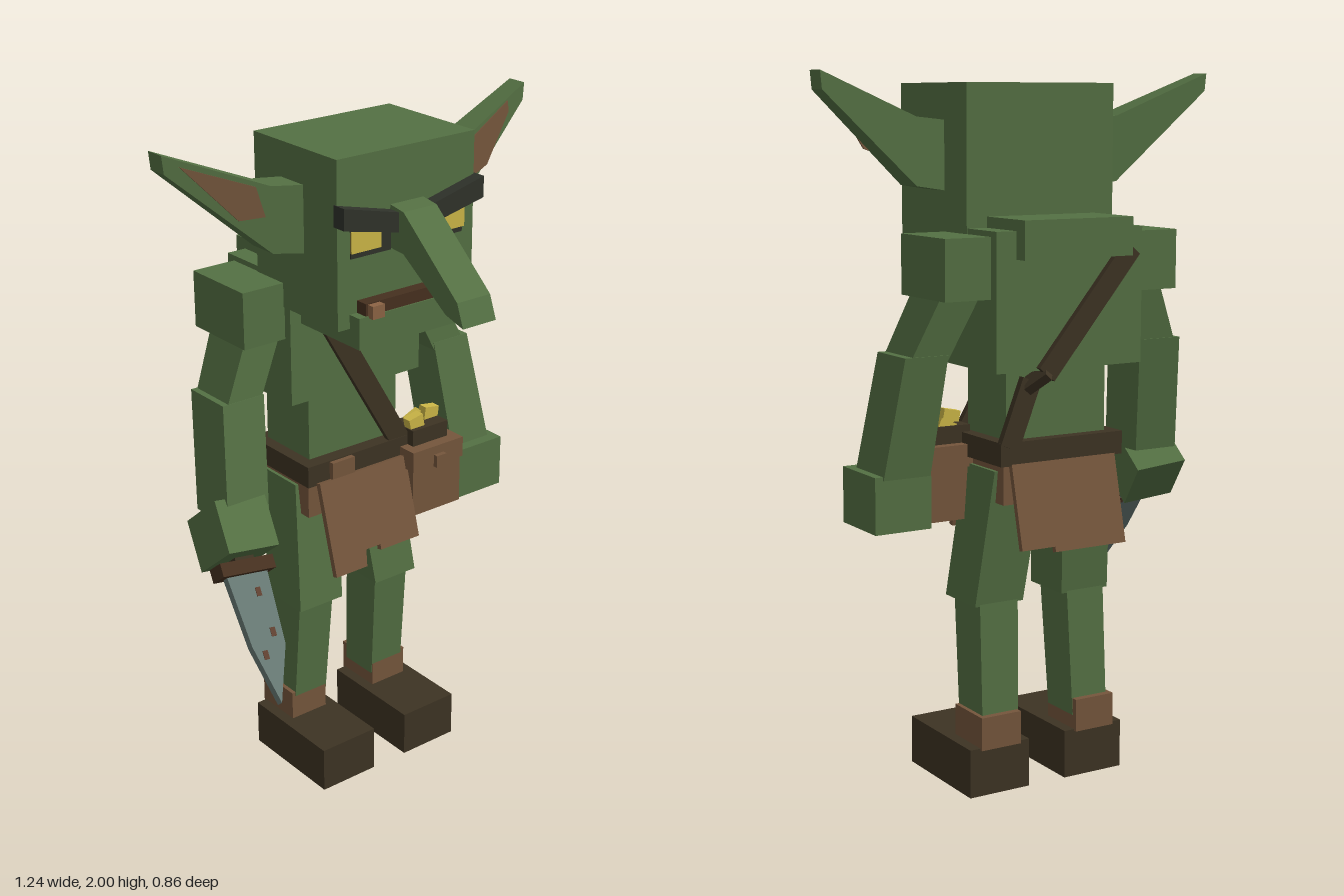
import * as THREE from 'three';

const mat = (name, color) => Object.assign(new THREE.MeshStandardMaterial({ color, flatShading: true }), { name });
const skin = mat('green skin', 0x547043);
const leather = mat('brown leather', 0x75563c);
const dark = mat('dark leather', 0x3d3323);
const brow = mat('dark brow', 0x2f322a);
const yellow = mat('yellow', 0xcbb647);
const steel = mat('steel', 0x667873);
const mouthMat = mat('mouth', 0x46301f);
const tooth = mat('tooth', 0x8c6444);
const rust = mat('rust', 0x5f4030);

export function createModel() {
  const root = new THREE.Group();
  root.name = 'goblin';

  const add = (name, geo, m, parent = root) => {
    const mesh = new THREE.Mesh(geo, m);
    mesh.name = name;
    parent.add(mesh);
    return mesh;
  };
  // Box given by its limits on each axis
  const box = (name, m, x0, x1, y0, y1, z0, z1, parent) => {
    const mesh = add(name, new THREE.BoxGeometry(x1 - x0, y1 - y0, z1 - z0), m, parent);
    mesh.position.set((x0 + x1) / 2, (y0 + y1) / 2, (z0 + z1) / 2);
    return mesh;
  };
  // Limb segment between two rectangles [x0, x1, z0, z1]; s = -1 mirrors it
  const limb = (name, s, y0, low, y1, high, m = skin) => {
    const geo = new THREE.BoxGeometry(1, 1, 1);
    const p = geo.attributes.position;
    for (let i = 0; i < p.count; i++) {
      const up = p.getY(i) > 0, r = up ? high : low;
      const outer = p.getX(i) * s > 0;
      p.setXYZ(i, s * (outer ? r[1] : r[0]), up ? y1 : y0, p.getZ(i) > 0 ? r[3] : r[2]);
    }
    geo.computeVertexNormals();
    return add(name, geo, m);
  };
  const plate = (pts, depth) => new THREE.ExtrudeGeometry(
    new THREE.Shape(pts.map(([x, y]) => new THREE.Vector2(x, y))), { depth, bevelEnabled: false });
  // Flat band between two points
  const band = (name, a, b, width, thick) => {
    const A = new THREE.Vector3(...a), B = new THREE.Vector3(...b);
    const mesh = add(name, new THREE.BoxGeometry(width, A.distanceTo(B), thick), dark);
    mesh.position.copy(A).add(B).multiplyScalar(0.5);
    mesh.quaternion.setFromUnitVectors(new THREE.Vector3(0, 1, 0), B.sub(A).normalize());
  };

  // Head and jaw
  box('head', skin, -0.235, 0.235, 1.5, 1.97, -0.235, 0.13);
  box('jaw', skin, -0.195, 0.195, 1.45, 1.54, -0.2, 0.172);
  box('mouth', mouthMat, -0.17, 0.165, 1.53, 1.575, 0.12, 0.168);
  for (const x of [-0.143, 0.103]) box('tooth', tooth, x - 0.02, x + 0.02, 1.535, 1.572, 0.16, 0.19);

  // Bent nose, a side profile of (z, y) swept across x
  const nose = plate([[0.12, 1.82], [0.185, 1.81], [0.405, 1.62], [0.43, 1.555],
    [0.36, 1.575], [0.185, 1.695], [0.12, 1.7]], 0.114);
  nose.rotateY(-Math.PI / 2).translate(0.057, 0, 0);
  add('nose', nose, skin);

  // Eyes and brows
  for (const s of [-1, 1]) {
    const b = plate([[s * 0.24, 1.85], [s * 0.055, 1.805], [s * 0.055, 1.75], [s * 0.24, 1.79]], 0.045);
    b.translate(0, 0, 0.122);
    add('brow', b, brow);
    const c = s * 0.125;
    box('eyeSocket', brow, c - 0.068, c + 0.068, 1.695, 1.79, 0.128, 0.134);
    const e = s < 0 ? -0.143 : 0.148;
    box('eye', yellow, e - 0.05, e + 0.05, 1.71, 1.77, 0.133, 0.138);
  }
  box('eyeCorner', yellow, 0.057, 0.077, 1.715, 1.745, 0.133, 0.138);

  // Swept ears: flat outline, then sheared back and thinned towards the tip
  const earFront = x => -0.015 - (Math.abs(x) - 0.235) * 0.195;
  const sweep = (geo, depthAt, offset) => {
    const p = geo.attributes.position;
    for (let i = 0; i < p.count; i++) {
      const x = p.getX(i);
      p.setZ(i, earFront(x) + offset - (p.getZ(i) > 0.5 ? 0 : depthAt(x)));
    }
    geo.computeVertexNormals();
    return geo;
  };
  const earDepth = x => 0.1 - (Math.abs(x) - 0.235) * 0.1;
  for (const s of [-1, 1]) {
    const outline = [[0.225, 1.87], [0.325, 1.88], [0.62, 2], [0.615, 1.95], [0.325, 1.695], [0.225, 1.68]];
    add('ear', sweep(plate(outline.map(([x, y]) => [s * x, y]), 1), earDepth, 0), skin);
  }
  const patches = [
    [[0.26, 1.83], [0.54, 1.962], [0.545, 1.93], [0.45, 1.795], [0.28, 1.74]],
    [[-0.575, 1.965], [-0.37, 1.885], [-0.345, 1.8], [-0.42, 1.8]]];
  for (const pts of patches) add('innerEar', sweep(plate(pts, 1), () => 0.006, 0.004), leather);

  // Torso
  box('chest', skin, -0.232, 0.232, 1.21, 1.585, -0.385, -0.09);
  box('upperBackHump', skin, -0.172, 0.172, 1.51, 1.615, -0.428, -0.15);
  box('waist', skin, -0.16, 0.16, 0.92, 1.215, -0.315, -0.11);
  box('pelvis', leather, -0.18, 0.18, 0.84, 0.955, -0.335, -0.09);
  box('belt', dark, -0.197, 0.197, 0.95, 1.015, -0.35, -0.066);
  box('beltBuckle', leather, -0.12, -0.04, 0.955, 1.012, -0.07, -0.05);

  // Shoulder strap
  band('frontStrap', [-0.14, 1.5, -0.082], [0.15, 1.0, -0.078], 0.065, 0.02);
  band('backStrap', [-0.19, 1.53, -0.393], [0.085, 1.2, -0.393], 0.06, 0.02);
  band('strapBend', [0.075, 1.21, -0.397], [0.11, 1.165, -0.345], 0.06, 0.025);
  band('lowerBackStrap', [0.1, 1.18, -0.342], [0.17, 1.0, -0.342], 0.06, 0.02);

  // Ragged loincloth flaps
  const front = add('frontLoincloth', plate([[-0.168, 0], [-0.168, -0.285], [-0.055, -0.285], [-0.048, -0.235],
    [0.005, -0.235], [0.005, -0.252], [0.15, -0.252], [0.15, 0]], 0.018), leather);
  front.position.set(0, 0.957, -0.067);
  front.rotation.x = -0.27;
  const back = add('backLoincloth', plate([[-0.17, 0], [-0.17, -0.25], [0.06, -0.25], [0.06, -0.235],
    [0.165, -0.235], [0.165, 0]], 0.016), leather);
  back.position.set(0, 0.955, -0.353);
  back.rotation.x = 0.24;

  // Belt pouch with coins
  box('pouch', leather, 0.15, 0.333, 0.772, 0.93, -0.16, -0.012);
  box('pouchFlap', leather, 0.143, 0.336, 0.922, 0.985, -0.17, -0.003);
  box('pouchClasp', leather, 0.222, 0.26, 0.92, 0.958, -0.01, 0.012);
  box('pouchNeck', dark, 0.172, 0.305, 0.98, 1.035, -0.14, -0.04);
  for (const [x, z, r] of [[0.2, -0.07, 0.2], [0.28, -0.1, -0.15], [0.24, -0.12, 0.4]]) {
    box('coin', yellow, x - 0.026, x + 0.026, 1.02, x > 0.23 && x < 0.27 ? 1.05 : 1.07, z - 0.015, z + 0.015)
      .rotation.z = r;
  }

  // Legs and shoulders on both sides
  for (const s of [-1, 1]) {
    limb('thigh', s, 0.54, [0.065, 0.22, -0.25, -0.085], 0.93, [0.03, 0.19, -0.305, -0.14]);
    limb('shin', s, 0.18, [0.092, 0.208, -0.27, -0.14], 0.56, [0.082, 0.205, -0.25, -0.108]);
    limb('ankleCuff', s, 0.135, [0.093, 0.22, -0.287, -0.137], 0.23, [0.093, 0.22, -0.287, -0.137], leather);
    limb('boot', s, 0, [0.06, 0.253, -0.278, 0.064], 0.14, [0.06, 0.253, -0.278, 0.064], dark);
    limb('shoulder', s, 1.405, [0.22, 0.37, -0.355, -0.115], 1.57, [0.22, 0.37, -0.355, -0.115]);
    limb('upperArm', s, 1.22, [0.325, 0.44, -0.27, -0.12], 1.42, [0.23, 0.35, -0.305, -0.14]);
  }

  // Left forearm and fist
  limb('leftForearm', 1, 0.92, [0.342, 0.485, -0.22, -0.055], 1.255, [0.318, 0.448, -0.28, -0.122]);
  box('leftHand', skin, 0.337, 0.508, 0.772, 0.93, -0.215, -0.022);

  // Right forearm, tilted fist and knife
  limb('rightForearm', -1, 0.92, [0.345, 0.485, -0.21, -0.055], 1.255, [0.305, 0.443, -0.28, -0.122]);
  const hand = new THREE.Group();
  hand.name = 'rightHandWithKnife';
  hand.position.set(-0.44, 0.87, -0.1);
  hand.rotation.set(-0.69, 0, -0.14);
  root.add(hand);
  box('rightHand', skin, -0.08, 0.08, -0.075, 0.08, -0.095, 0.095, hand);
  box('knifeHandle', dark, -0.03, 0.03, -0.1, 0.1, -0.025, 0.025, hand);
  box('knifeGuard', mouthMat, -0.085, 0.085, -0.125, -0.085, -0.035, 0.035, hand);
  const blade = plate([[-0.065, -0.11], [-0.047, -0.33], [-0.005, -0.5], [0.058, -0.34], [0.067, -0.11]], 0.026);
  blade.translate(0, 0, -0.013);
  add('blade', blade, steel, hand);
  for (const [x, y] of [[0.02, -0.18], [-0.012, -0.36], [0.03, -0.3]]) {
    box('rustSpot', rust, x - 0.008, x + 0.008, y - 0.013, y + 0.013, -0.015, 0.015, hand);
  }
  return root;
}
